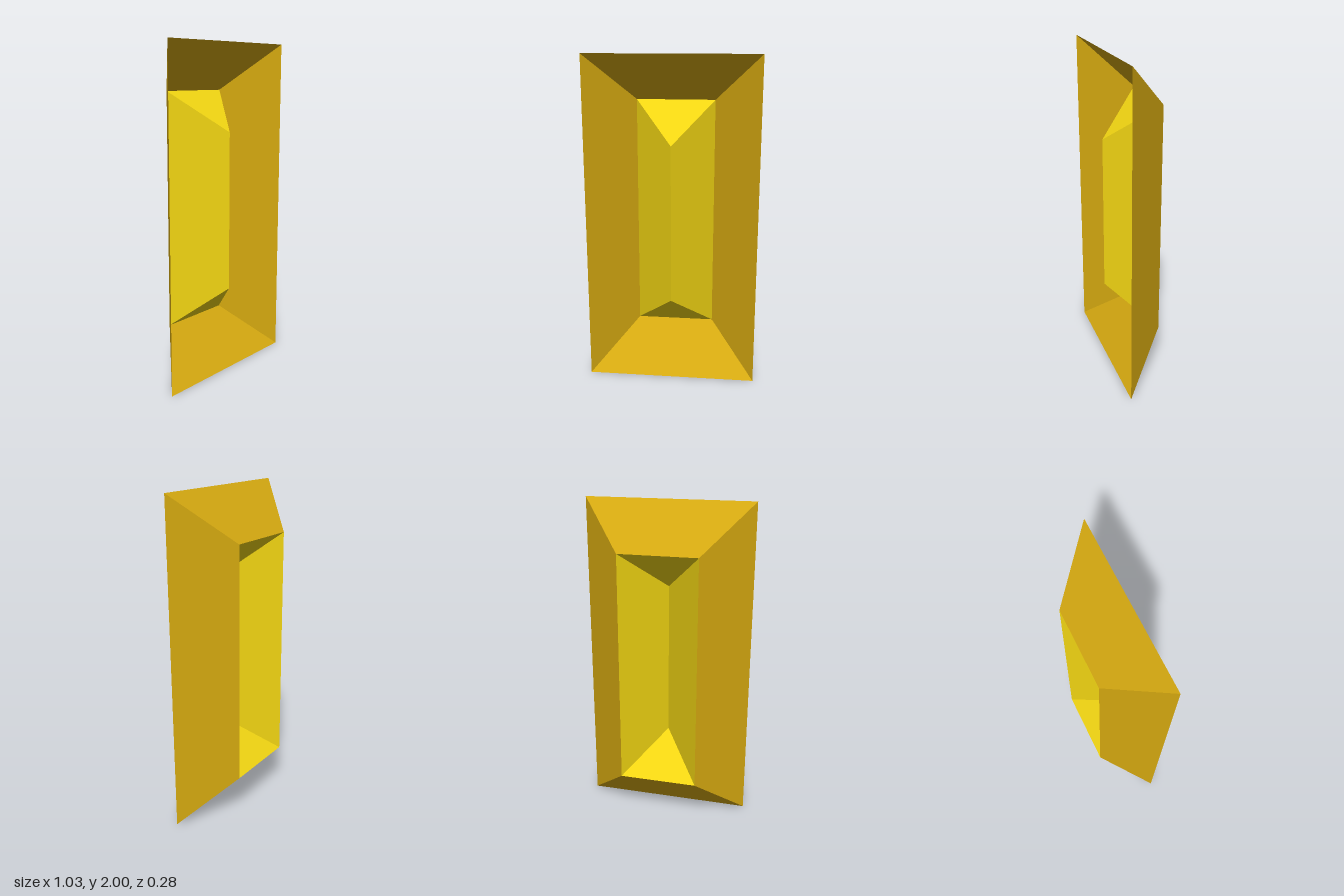
import * as THREE from 'three';

// Rectangle of corners, counter-clockwise seen from the front
const ring = (halfW, halfH, z) =>
  [[-1, -1], [1, -1], [1, 1], [-1, 1]].map(([sx, sy]) => new THREE.Vector3(sx * halfW, 1 + sy * halfH, z));

// Thin faceted sheet between an outer and an inner rectangle
function bevelSheet(name, outer, inner, color) {
  const points = [];
  for (let i = 0; i < 4; i++) {
    const j = (i + 1) % 4;
    points.push(outer[i], outer[j], inner[j]);
    // skip the second triangle where the inner edge shrinks to a point
    if (inner[i].distanceTo(inner[j]) > 1e-6) points.push(outer[i], inner[j], inner[i]);
  }
  const geometry = new THREE.BufferGeometry().setFromPoints(points);
  geometry.computeVertexNormals();
  const material = new THREE.MeshStandardMaterial({ color, flatShading: true, side: THREE.DoubleSide });
  const mesh = new THREE.Mesh(geometry, material);
  mesh.name = name;
  return mesh;
}

export function createModel() {
  const group = new THREE.Group();
  group.name = 'bevelledPanel';

  const rim = ring(0.516, 1, 0.14);
  const seat = ring(0.24, 0.72, -0.14);
  const ridge = ring(0, 0.48, 0.14);

  // Frame slopes back from the rim to the inner opening
  group.add(bevelSheet('frame', rim, seat, 0xd4a810));
  // Centre rises from the opening to a vertical ridge level with the rim
  group.add(bevelSheet('ridgedCentre', seat, ridge, 0xf0d412));

  return group;
}
